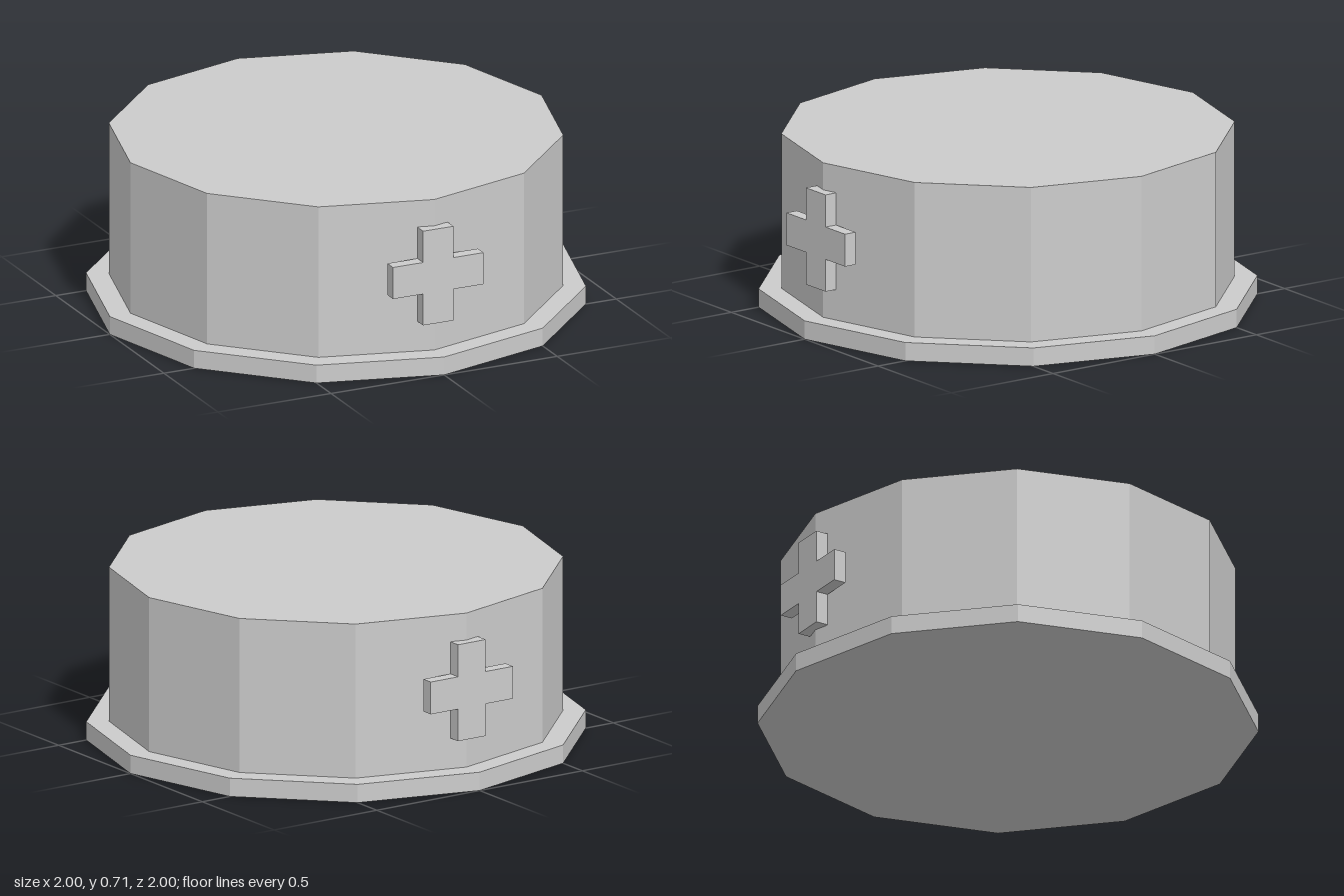
import * as THREE from 'three';

export function createModel() {
  const model = new THREE.Group();
  const grey = new THREE.MeshStandardMaterial({ color: 0xcccccc });
  grey.name = 'plain grey';

  // Flat-sided twelve-cornered drum between two heights
  const drum = (name, radius, bottom, top) => {
    const geometry = new THREE.CylinderGeometry(radius, radius, top - bottom, 12).toNonIndexed();
    geometry.computeVertexNormals();
    const mesh = new THREE.Mesh(geometry, grey);
    mesh.name = name;
    mesh.position.y = (bottom + top) / 2;
    model.add(mesh);
  };
  drum('baseFlange', 1, 0, 0.076);
  drum('body', 0.909, 0.076, 0.715);

  // Raised plus sign on the front and back
  const a = 0.067, b = 0.2, depth = 0.052;
  const outline = [
    [-a, -b], [a, -b], [a, -a], [b, -a], [b, a], [a, a],
    [a, b], [-a, b], [-a, a], [-b, a], [-b, -a], [-a, -a],
  ].map(([x, y]) => new THREE.Vector2(x, y));
  const crossGeometry = new THREE.ExtrudeGeometry(new THREE.Shape(outline), { depth, bevelEnabled: false });
  crossGeometry.translate(0, 0, 0.894);
  for (const [name, turn] of [['frontCross', 0], ['backCross', Math.PI]]) {
    const cross = new THREE.Mesh(crossGeometry, grey);
    cross.name = name;
    cross.position.y = 0.403;
    cross.rotation.y = turn;
    model.add(cross);
  }
  return model;
}
